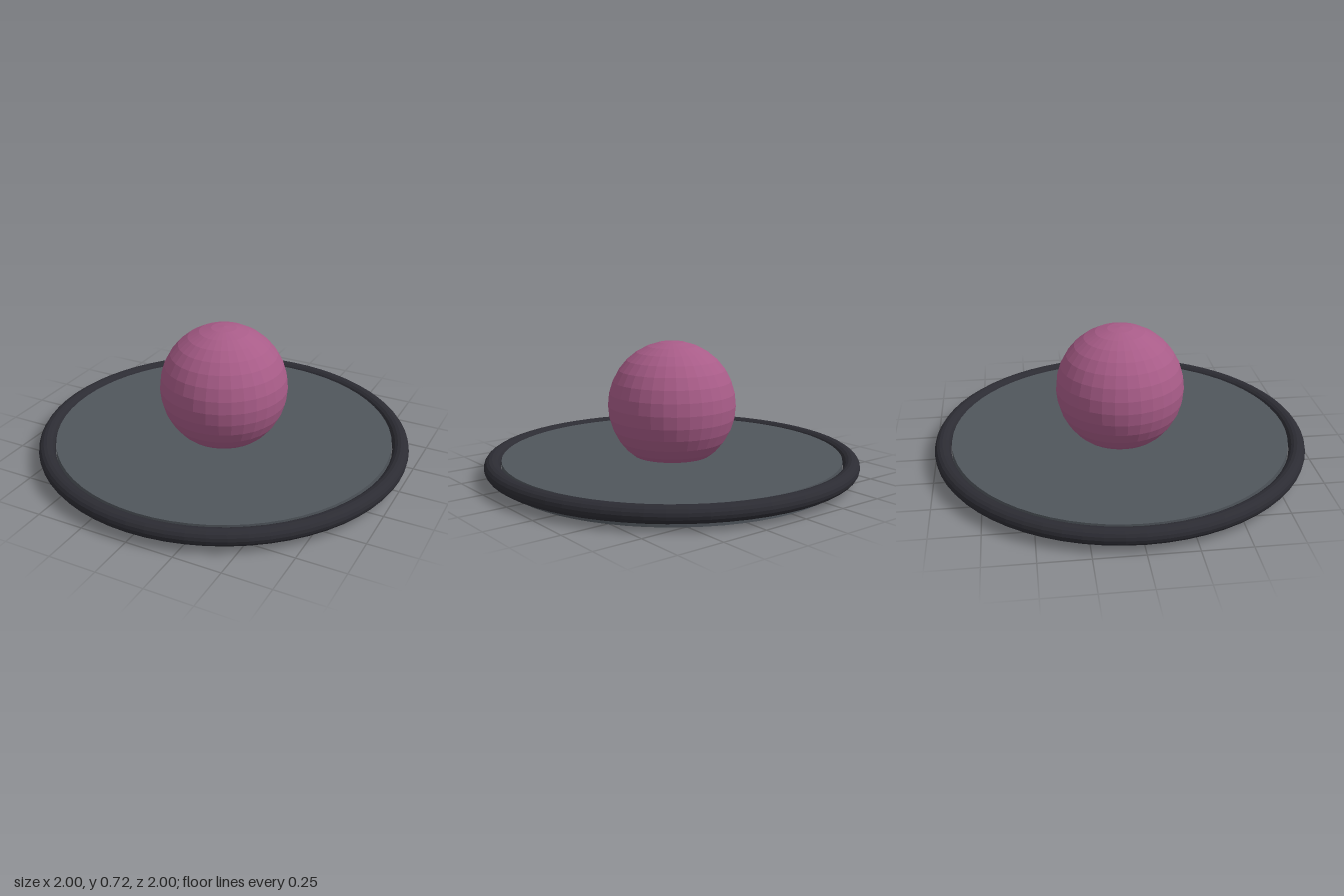
import * as THREE from 'three';

function addPart(group, name, geometry, color, y) {
  const material = new THREE.MeshStandardMaterial({ color, flatShading: true });
  const mesh = new THREE.Mesh(geometry, material);
  mesh.name = name;
  mesh.position.y = y;
  group.add(mesh);
  return mesh;
}

export function createModel() {
  const group = new THREE.Group();
  group.name = 'ballOnDisc';

  // Flat round base, slightly sunk inside the rim
  const baseHeight = 0.108;
  addPart(group, 'baseDisc', new THREE.CylinderGeometry(0.908, 0.908, baseHeight, 64), 0x50565c, baseHeight / 2);

  // Rounded rim around the base
  const rim = new THREE.TorusGeometry(0.9565, 0.0435, 16, 64).rotateX(Math.PI / 2);
  addPart(group, 'rim', rim, 0x2c2c33, 0.078);

  // Ball resting partly in the base
  addPart(group, 'ball', new THREE.SphereGeometry(0.342, 32, 16), 0xa85c88, 0.377);

  return group;
}
